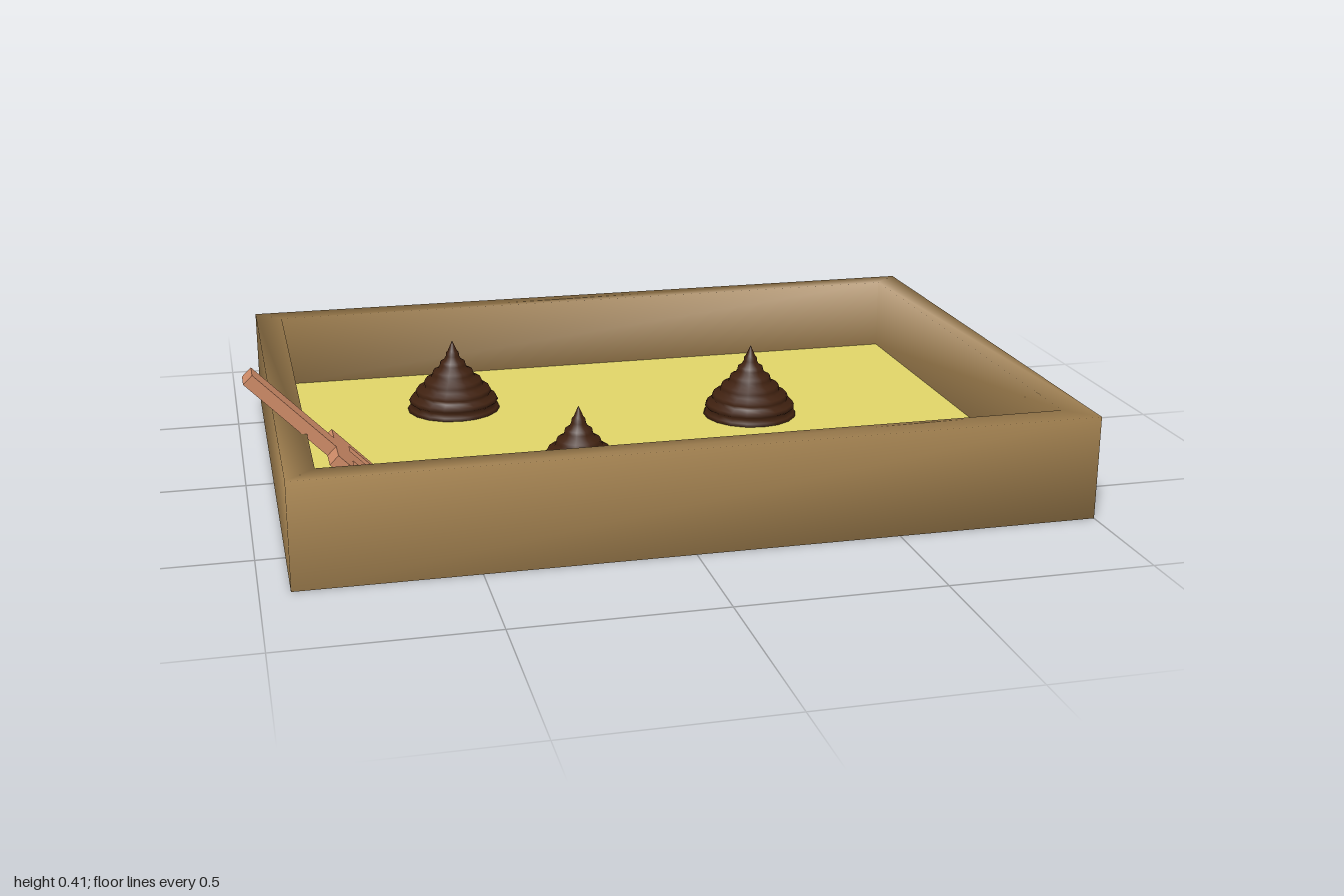
import * as THREE from 'three';

const mat = (color, side = THREE.FrontSide) => new THREE.MeshStandardMaterial({ color, side });
const SAND_Y = 0.065;

function add(parent, name, geometry, material) {
  const mesh = new THREE.Mesh(geometry, material);
  mesh.name = name;
  parent.add(mesh);
  return mesh;
}

// Rectangular frame: four rectangular loops joined around the wall's cross-section
function frameGeometry() {
  const outer = [-0.93, 1, -0.7, 0.7], inner = [-0.86, 0.93, -0.635, 0.63];
  const loops = [[outer, 0], [outer, 0.26], [inner, 0.26], [inner, SAND_Y]];
  const pos = [], index = [];
  for (const [[x0, x1, z0, z1], y] of loops)
    pos.push(x0, y, z1, x1, y, z1, x1, y, z0, x0, y, z0);
  for (let l = 0; l < 4; l++)
    for (let c = 0; c < 4; c++) {
      const a = l * 4 + c, b = l * 4 + (c + 1) % 4;
      const d = ((l + 1) % 4) * 4 + c, e = ((l + 1) % 4) * 4 + (c + 1) % 4;
      index.push(a, b, e, a, e, d);
    }
  const g = new THREE.BufferGeometry();
  g.setAttribute('position', new THREE.Float32BufferAttribute(pos, 3));
  g.setIndex(index);
  g.computeVertexNormals();
  return g;
}

// Ridged mound: rounded layers that shrink towards a pointed tip
function moundGeometry() {
  const radii = [0.127, 0.122, 0.104, 0.08, 0.056, 0.035, 0.018];
  const step = 0.025;
  const pts = [new THREE.Vector2(0, 0), new THREE.Vector2(0.108, 0)];
  radii.forEach((r, i) => {
    pts.push(new THREE.Vector2(r, (i + 0.4) * step));
    pts.push(new THREE.Vector2(r * 0.96, (i + 0.75) * step));
    pts.push(new THREE.Vector2(((radii[i + 1] ?? 0.01) + r) * 0.44, (i + 1) * step));
  });
  pts.push(new THREE.Vector2(0, 0.203));
  return new THREE.LatheGeometry(pts, 18);
}

// Slotted scoop, laid out along +x from the handle's end, then tilted
function createScoop() {
  const scoop = new THREE.Group();
  scoop.name = 'scoop';
  const material = mat(0xd08c68);
  const handle = add(scoop, 'handle', new THREE.BoxGeometry(0.28, 0.03, 0.065), material);
  handle.position.x = 0.14;

  const rect = (path, x0, x1, y0, y1) =>
    path.moveTo(x0, y0).lineTo(x1, y0).lineTo(x1, y1).lineTo(x0, y1).closePath();
  const plate = rect(new THREE.Shape(), 0.262, 0.468, -0.098, 0.098);
  for (const s of [-1, 1])
    plate.holes.push(rect(new THREE.Path(), 0.315, 0.43, s * 0.053 - 0.02, s * 0.053 + 0.02));
  const geo = new THREE.ExtrudeGeometry(plate, { depth: 0.03, bevelEnabled: false });
  geo.translate(0, 0, -0.015).rotateX(Math.PI / 2);
  add(scoop, 'slottedBlade', geo, material);

  scoop.position.set(-0.988, 0.4, 0.357);
  scoop.rotation.z = -0.797;
  return scoop;
}

export function createModel() {
  const model = new THREE.Group();
  model.name = 'sandTray';

  add(model, 'frame', frameGeometry(), mat(0xa68452, THREE.DoubleSide));

  // Sand floor
  const sand = add(model, 'sand',
    new THREE.PlaneGeometry(1.79, 1.265).rotateX(-Math.PI / 2), mat(0xe0d468, THREE.DoubleSide));
  sand.position.set(0.035, SAND_Y, -0.0025);

  // Three mounds sunk slightly through the sand
  const mound = moundGeometry(), brown = mat(0x3f2110);
  [[-0.42, -0.315], [0.36, -0.085], [-0.2, 0.32]].forEach(([x, z], i) => {
    add(model, 'mound' + (i + 1), mound, brown).position.set(x, 0.054, z);
  });

  model.add(createScoop());
  return model;
}
